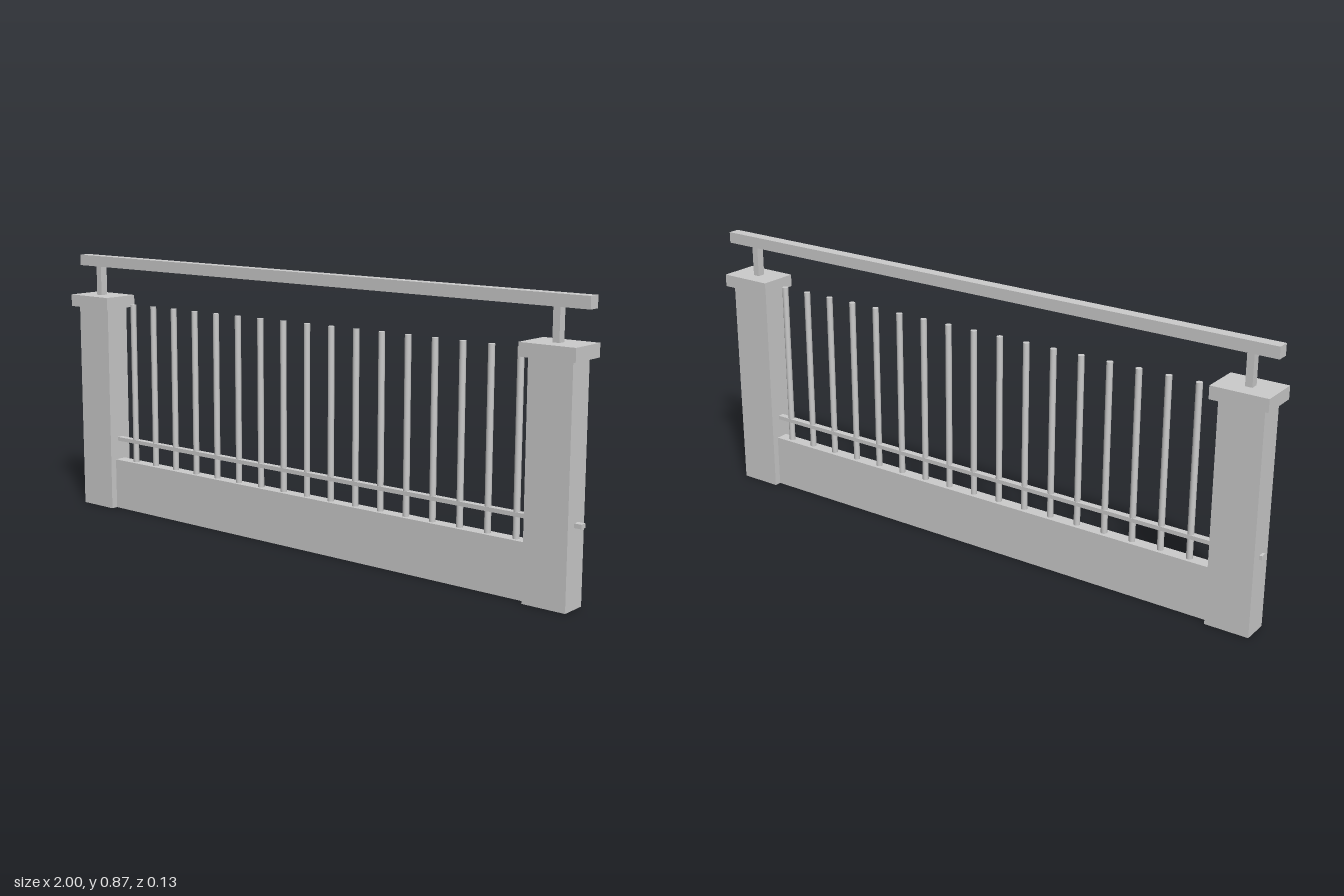
import * as THREE from 'three';

export function createModel() {
  const model = new THREE.Group();
  model.name = 'railing';
  const material = new THREE.MeshStandardMaterial({ color: 0xcccccc, flatShading: true });
  const smooth = new THREE.MeshStandardMaterial({ color: 0xcccccc });

  // Box given by its extents in x and y and its depth, centred on z = 0
  function box(name, x0, x1, y0, y1, depth) {
    const mesh = new THREE.Mesh(new THREE.BoxGeometry(x1 - x0, y1 - y0, depth), material);
    mesh.position.set((x0 + x1) / 2, (y0 + y1) / 2, 0);
    mesh.name = name;
    model.add(mesh);
  }

  // End posts with overhanging caps and short handrail supports
  for (const [side, x] of [['right', -0.911], ['left', 0.897]]) {
    box(side + 'Post', x - 0.07, x + 0.07, 0, 0.7, 0.086);
    box(side + 'PostCap', x - 0.089, x + 0.089, 0.698, 0.738, 0.127);
    box(side + 'HandrailSupport', x - 0.014, x + 0.008, 0.738, 0.837, 0.026);
  }

  // Handrail, low wall and thin cross rail running through the posts
  box('handrail', -1, 1, 0.836, 0.872, 0.038);
  box('lowWall', -0.85, 0.835, 0, 0.171, 0.042);
  box('crossRail', -0.99, 0.99, 0.236, 0.249, 0.021);

  // Round balusters standing on the low wall
  const count = 17;
  const bottom = 0.165, top = 0.715;
  const rod = new THREE.CylinderGeometry(0.01, 0.01, top - bottom, 16);
  for (let i = 0; i < count; i++) {
    const baluster = new THREE.Mesh(rod, smooth);
    baluster.position.set(-0.76 + i * 0.0961, (bottom + top) / 2, 0);
    baluster.name = 'baluster' + (i + 1);
    model.add(baluster);
  }
  return model;
}
